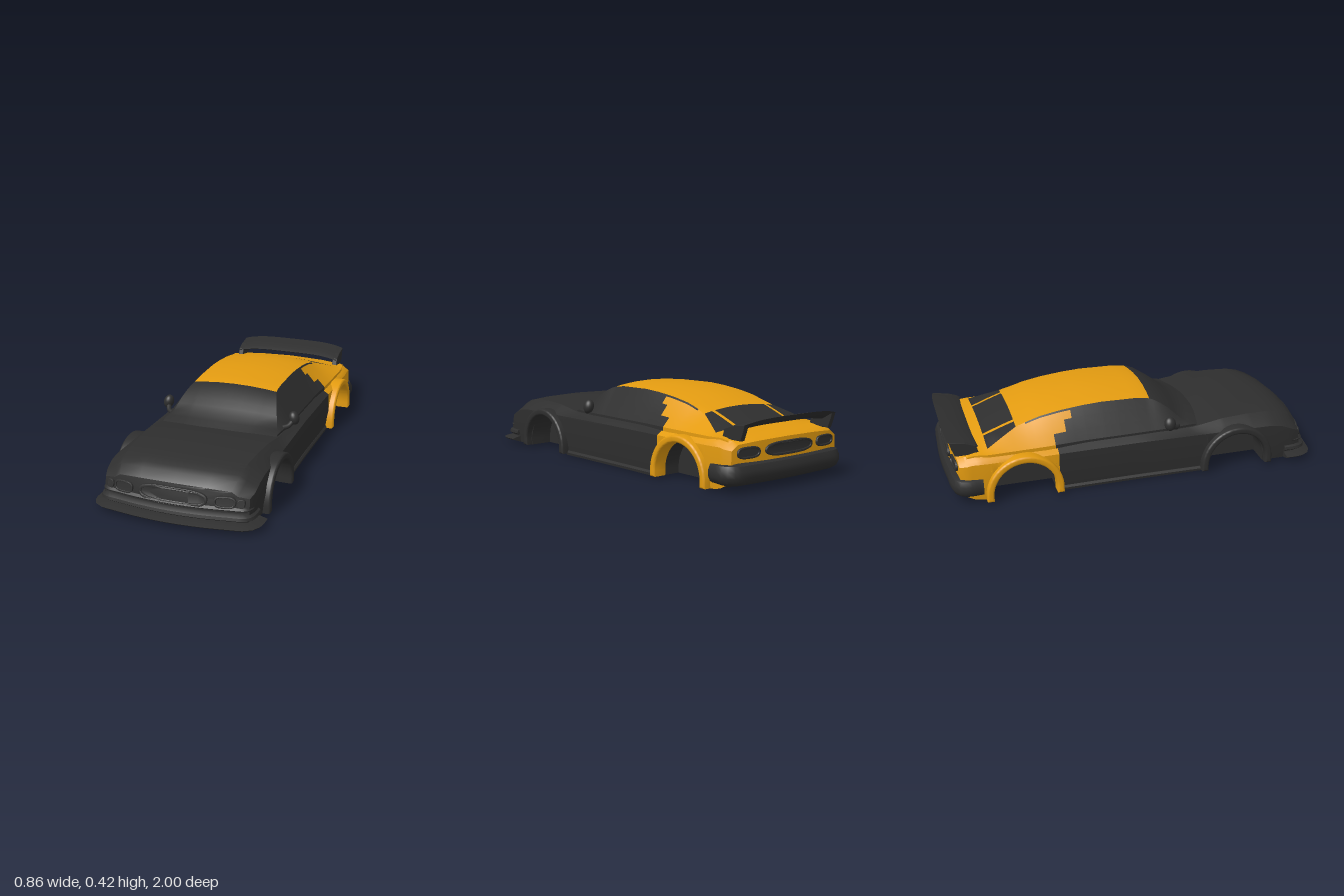
import * as THREE from 'three';
import { toCreasedNormals } from 'three/addons/utils/BufferGeometryUtils.js';

const dark = new THREE.MeshStandardMaterial({ color: 0x2e2e2e });
const orange = new THREE.MeshStandardMaterial({ color: 0xe39b10 });

// Piecewise-linear lookup through [position, value] keys
function at(keys, z) {
  if (z <= keys[0][0]) return keys[0][1];
  for (let i = 1; i < keys.length; i++) {
    const [a, va] = keys[i - 1], [b, vb] = keys[i];
    if (z <= b) return va + (vb - va) * (z - a) / (b - a);
  }
  return keys[keys.length - 1][1];
}
const step = THREE.MathUtils.smoothstep;

// Skin over closed rings; paint(centre, segment) picks the orange triangles
function loft(group, name, rings, paint, crease = 0.6) {
  const n = rings[0].length, pos = [];
  const tri = (...p) => {
    const [a, b, c] = p.map(q => new THREE.Vector3(...q));
    if (b.sub(a).cross(c.sub(a)).length() > 1e-9) { p.forEach(q => pos.push(...q)); return true; }
    return false;
  };
  const flags = [];
  for (let i = 0; i + 1 < rings.length; i++) for (let j = 0; j < n; j++) {
    const k = (j + 1) % n, a = rings[i][j], b = rings[i][k], c = rings[i + 1][k], d = rings[i + 1][j];
    const mid = [0, 1, 2].map(m => (a[m] + b[m] + c[m] + d[m]) / 4);
    const isOrange = paint(mid, j < n / 2 ? j : n - 1 - j);
    if (tri(a, b, c)) flags.push(isOrange);
    if (tri(a, c, d)) flags.push(isOrange);
  }
  const geo = new THREE.BufferGeometry();
  geo.setAttribute('position', new THREE.Float32BufferAttribute(pos, 3));
  const smooth = toCreasedNormals(geo, crease);
  for (const want of [false, true]) {
    const part = new THREE.BufferGeometry();
    for (const key of ['position', 'normal']) {
      const src = smooth.attributes[key].array, out = [];
      flags.forEach((f, t) => { if (f === want) for (let m = 0; m < 9; m++) out.push(src[t * 9 + m]); });
      part.setAttribute(key, new THREE.Float32BufferAttribute(out, 3));
    }
    if (part.attributes.position.count) add(group, name + (want ? 'Orange' : 'Dark'), part, want ? orange : dark);
  }
}
function add(group, name, geo, mat = dark) {
  const mesh = new THREE.Mesh(geo, mat);
  mesh.name = name;
  group.add(mesh);
  return mesh;
}
const mirrorRing = half => half.concat(half.slice(1, -1).reverse().map(([x, y]) => [-x, y]));
function capped(rings) {
  const tip = r => { const c = [0, 1, 2].map(m => r.reduce((s, p) => s + p[m], 0) / r.length); return r.map(() => c); };
  return [tip(rings[0]), ...rings, tip(rings[rings.length - 1])];
}
// Sweeps an [outward, y] profile along a plan path of [x, z] points
function sweep(group, name, profile, pts, count = 48) {
  const curve = new THREE.CatmullRomCurve3(pts.map(([x, z]) => new THREE.Vector3(x, 0, z)), false, 'centripetal');
  const rings = [];
  for (let i = 0; i <= count; i++) {
    const p = curve.getPointAt(i / count), t = curve.getTangentAt(i / count);
    rings.push(profile.map(([o, y]) => [p.x + t.z * o, y, p.z - t.x * o]));
  }
  loft(group, name, capped(rings), () => false);
}

const noseZ = (x, y) => 0.94 - 0.35 * x * x - 0.2 * Math.max(0, y - 0.1);
const tailZ = x => -0.965 + 0.2 * x * x;
const wheels = [0.52, -0.62], archR = 0.165, archY = 0.04;

// Lower shell with wheel wells
function lowerBody(car) {
  const top = [[-0.965, 0.238], [-0.93, 0.252], [-0.85, 0.262], [-0.78, 0.262], [-0.45, 0.25], [0.3, 0.25], [0.38, 0.262],
    [0.46, 0.274], [0.6, 0.28], [0.76, 0.276], [0.84, 0.264], [0.9, 0.242], [0.925, 0.225], [0.94, 0.2]];
  const width = [[-0.965, 0.36], [-0.94, 0.378], [-0.8, 0.385], [0, 0.375], [0.8, 0.388], [0.9, 0.386], [0.94, 0.372]];
  const shoulder = [[-0.965, 0.2], [-0.9, 0.212], [0.75, 0.212], [0.85, 0.2], [0.94, 0.16]];
  const hood = [[-0.965, 0.32], [-0.85, 0.34], [0, 0.335], [0.4, 0.32], [0.9, 0.3], [0.94, 0.285]];
  const stations = [-0.44];
  for (let i = 0; i <= 56; i++) stations.push(-0.965 + 1.905 * i / 56);
  for (const c of wheels) {
    for (let k = 0; k <= 20; k++) stations.push(c + archR * Math.cos(k * Math.PI / 20));
    stations.push(c - archR - 0.0005, c + archR + 0.0005);
  }
  stations.sort((a, b) => a - b);
  const section = z => {
    const floor = at([[-0.965, 0.05], [-0.9, 0.02], [-0.84, 0.01]], z);
    let a = floor;
    for (const c of wheels) if (Math.abs(z - c) < archR + 0.0002) a = archY + Math.sqrt(Math.max(0, archR ** 2 - (z - c) ** 2));
    const w = at(width, z), s = at(shoulder, z), t = at(top, z), h = at(hood, z);
    return mirrorRing([[0, floor], [0.25, floor], [0.25, a], [w - 0.012, a], [w, (a + s) / 2], [w - 0.003, s],
      [h + 0.03, Math.max(t - 0.032, s)], [h, t - 0.012], [h * 0.6, t - 0.004], [0, t]]);
  };
  const place = (ring, z, k = 1) => ring.map(([px, py]) => {
    const x = px * k, y = 0.13 + (py - 0.13) * k;
    const front = step(z, 0.6, 0.94), back = 1 - step(z, -0.965, -0.8);
    return [x, y, z + front * (noseZ(x, y) - 0.94) + back * (tailZ(x) + 0.965)];
  });
  const rings = stations.map(z => place(section(z), z));
  const shrink = [0.85, 0.65, 0.4, 0.2, 0];
  for (const k of shrink) {
    rings.unshift(place(section(-0.965), -0.965, k));
    rings.push(place(section(0.94), 0.94, k));
  }
  loft(car, 'lowerBody', rings, ([, , z], seg) => z < -0.93 || (z < -0.44 && seg >= 3), 0.5);
}

// Greenhouse: windscreen, roof, side glass and rear glass
function cabin(car) {
  const top = [[-0.9, 0.25], [-0.79, 0.283], [-0.7, 0.32], [-0.63, 0.347], [-0.5, 0.386], [-0.4, 0.404], [-0.28, 0.417],
    [-0.18, 0.423], [0, 0.42], [0.06, 0.415], [0.1, 0.408], [0.15, 0.385], [0.2, 0.355], [0.28, 0.298], [0.36, 0.262], [0.4, 0.245]];
  const edge = [[-0.9, 0.335], [-0.79, 0.315], [-0.63, 0.238], [-0.55, 0.23], [0.08, 0.23], [0.2, 0.265], [0.36, 0.31]];
  const base = [[-0.9, 0.34], [-0.79, 0.36], [-0.5, 0.352], [-0.3, 0.338], [0.2, 0.33], [0.4, 0.312]];
  const stations = [-0.9, -0.86, -0.82, -0.79, -0.75, -0.7, -0.66, -0.63, -0.58, -0.54, -0.5, -0.45, -0.42, -0.385, -0.345, -0.28,
    -0.18, -0.1, 0, 0.06, 0.09, 0.11, 0.15, 0.2, 0.24, 0.28, 0.32, 0.36, 0.4];
  const rings = stations.map(z => {
    const t = at(top, z), e = at(edge, z), b = at(base, z), yb = Math.min(0.25, t - 0.01);
    const ey = Math.max(yb, t - 0.02);
    const side = f => [b + (e - b) * f, yb + (ey - yb) * f];
    const roof = x => [x, t - (t - ey) * (x / e) ** 2];
    return mirrorRing([[0, 0.2], [b, 0.2], side(0), side(0.34), side(0.7), side(0.94), [e, ey],
      roof(0.19), roof(0.17), roof(0.085), [0, t]]).map(([x, y]) => [x, y, z - x * x * (0.2 + 0.4 * step(z, 0.1, 0.36)) * step(z, 0, 0.1)]);
  });
  // Orange starts further back on each lower side band, giving the stepped paint edge
  const start = [-0.45, -0.45, -0.45, -0.385, -0.345, -0.58];
  loft(car, 'cabin', rings, ([, , z], seg) => {
    if (seg < 6) return z < start[seg];
    const glass = z < -0.63 && z > -0.79 && seg !== 7;
    return z < 0.083 && !glass;
  }, 0.45);
}

// Wheel arch flares
function flares(car) {
  const ro = 0.197, ri = archR - 0.003, s = new THREE.Shape();
  s.moveTo(-ro, 0.01).lineTo(-ro, archY).absarc(0, archY, ro, Math.PI, 0, true).lineTo(ro, 0.01);
  s.lineTo(ri, 0.01).lineTo(ri, archY).absarc(0, archY, ri, 0, Math.PI, false).lineTo(-ri, 0.01);
  const geo = toCreasedNormals(new THREE.ExtrudeGeometry(s, { depth: 0.06, curveSegments: 28, bevelEnabled: true,
    bevelSize: 0.01, bevelThickness: 0.01, bevelOffset: -0.01, bevelSegments: 3 }), 0.6);
  wheels.forEach((z, i) => [1, -1].forEach(side => {
    const m = add(car, (i ? 'rear' : 'front') + (side > 0 ? 'Left' : 'Right') + 'Flare', geo, i ? orange : dark);
    m.rotation.y = side * Math.PI / 2;
    m.position.set(side * 0.344, 0, z);
  }));
}

// Rounded lamp or grille: raised frame around a panel, bent onto the nose or tail
function lamp(car, name, cx, cy, hw, hh, frame, rear = false) {
  const outline = g => Array.from({ length: 44 }, (_, i) => {
    const a = i / 44 * Math.PI * 2, c = Math.cos(a), s = Math.sin(a);
    return new THREE.Vector2(cx + Math.sign(c) * Math.abs(c) ** 0.6 * (hw - g), cy + Math.sign(s) * Math.abs(s) ** 0.8 * (hh - g));
  });
  const ring = new THREE.Shape(outline(0));
  ring.holes.push(new THREE.Path(outline(frame)));
  const bend = (shape, depth, bevel) => {
    const geo = new THREE.ExtrudeGeometry(shape, { depth, bevelEnabled: bevel > 0, bevelSize: bevel, bevelThickness: bevel,
      bevelOffset: -bevel, bevelSegments: 2 });
    const p = geo.attributes.position;
    for (let i = 0; i < p.count; i++) {
      const x = p.getX(i), y = p.getY(i), z = p.getZ(i) - 0.004;
      if (rear) p.setXYZ(i, -x, y, tailZ(x) - z);
      else p.setZ(i, noseZ(x, y) + z);
    }
    return toCreasedNormals(geo, 0.6);
  };
  add(car, name + 'Frame', bend(ring, 0.012, 0.003));
  add(car, name + 'Panel', bend(new THREE.Shape(outline(frame * 0.5)), 0.008, 0));
}

// Bumpers, splitter and sills
function trim(car) {
  const nose = [[0.372, 0.8], [0.37, 0.87], [0.355, 0.897], [0.28, 0.913], [0.15, 0.932], [0, 0.94]];
  const front = nose.concat(nose.slice(0, -1).reverse().map(([x, z]) => [-x, z]));
  sweep(car, 'splitter', [[-0.06, 0.008], [0, 0.01], [0.052, 0.026], [0.058, 0.032], [0.03, 0.04], [0, 0.046], [-0.06, 0.046]], front);
  sweep(car, 'frontBumper', [[-0.05, 0.05], [0.012, 0.052], [0.026, 0.062], [0.022, 0.076], [0, 0.09], [-0.05, 0.09]], front);
  sweep(car, 'bumperRidge', [[-0.03, 0.1], [0.01, 0.103], [0.012, 0.108], [0, 0.118], [-0.03, 0.118]], front);
  const tail = [[-0.362, -0.83], [-0.362, -0.91], [-0.34, -0.937], [-0.2, -0.952], [0, -0.96]];
  const back = tail.concat(tail.slice(0, -1).reverse().map(([x, z]) => [-x, z]));
  sweep(car, 'rearBumper', [[-0.06, 0.03], [0, 0.034], [0.026, 0.05], [0.038, 0.075], [0.038, 0.105], [0.026, 0.13], [0, 0.14], [-0.06, 0.14]], back);
  const sill = [[-0.02, 0], [0.006, 0.002], [0.008, 0.015], [0, 0.026], [-0.02, 0.026]];
  sweep(car, 'leftSill', sill, [[0.37, -0.43], [0.368, -0.05], [0.372, 0.33]], 8);
  sweep(car, 'rightSill', sill, [[-0.372, 0.33], [-0.368, -0.05], [-0.37, -0.43]], 8);
}

// Rear wing on two end supports
function wing(car) {
  const foil = [[-0.85, 0.302], [-0.87, 0.293], [-0.93, 0.3], [-0.99, 0.334], [-0.997, 0.341], [-0.93, 0.328], [-0.88, 0.316]];
  const rings = [];
  for (let i = 0; i <= 24; i++) {
    const t = i / 12 - 1;
    rings.push(foil.map(([z, y]) => [t * 0.31, y - 0.02 * t ** 4, z + 0.015 * t ** 4]));
  }
  loft(car, 'wingBlade', capped(rings.map(r => r.slice().reverse()).reverse()), () => false);
  const s = new THREE.Shape([[0.835, 0.245], [0.95, 0.245], [0.965, 0.285], [0.975, 0.318], [0.9, 0.306], [0.85, 0.288]].map(p => new THREE.Vector2(...p)));
  const geo = new THREE.ExtrudeGeometry(s, { depth: 0.022, bevelSize: 0.003, bevelThickness: 0.003, bevelSegments: 2 });
  geo.rotateY(Math.PI / 2).translate(-0.011, 0, 0);
  for (const side of [1, -1]) add(car, 'wingSupport', geo).position.x = side * 0.302;
}

// Door mirrors
function mirrors(car) {
  for (const side of [1, -1]) {
    const g = new THREE.Group();
    g.name = side > 0 ? 'leftMirror' : 'rightMirror';
    const shell = add(g, 'mirrorShell', new THREE.SphereGeometry(1, 24, 16));
    shell.scale.set(0.027, 0.037, 0.03);
    shell.position.set(side * 0.354, 0.288, 0.155);
    shell.rotation.z = side * 0.25;
    const stem = new THREE.CatmullRomCurve3([[0.31, 0.25, 0.215], [0.335, 0.255, 0.195], [0.35, 0.275, 0.165]].map(([x, y, z]) => new THREE.Vector3(side * x, y, z)));
    add(g, 'mirrorStem', new THREE.TubeGeometry(stem, 10, 0.013, 10));
    car.add(g);
  }
}

export function createModel() {
  const car = new THREE.Group();
  car.name = 'carBody';
  lowerBody(car);
  cabin(car);
  flares(car);
  trim(car);
  wing(car);
  mirrors(car);
  lamp(car, 'grille', 0, 0.142, 0.175, 0.043, 0.016);
  lamp(car, 'rearCentreLamp', 0, 0.185, 0.16, 0.034, 0.012, true);
  for (const side of [1, -1]) {
    lamp(car, 'headlight', side * 0.258, 0.14, 0.052, 0.029, 0.01);
    lamp(car, 'indicator', side * 0.334, 0.138, 0.018, 0.021, 0.006);
    lamp(car, 'tailLamp', side * 0.262, 0.185, 0.066, 0.028, 0.01, true);
  }
  return car;
}
